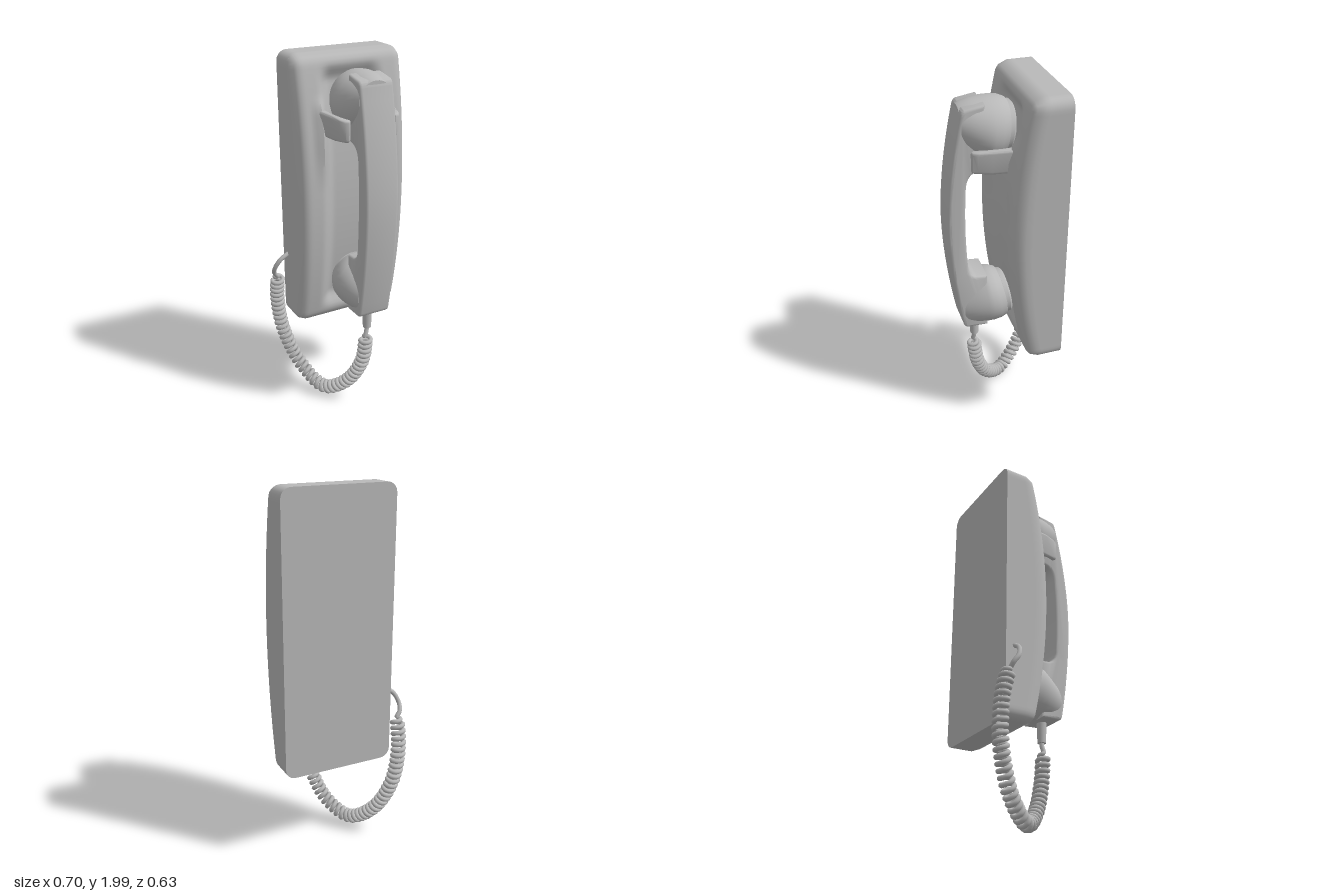
import * as THREE from 'three';
import { toCreasedNormals, mergeVertices } from 'three/addons/utils/BufferGeometryUtils.js';

const CX = 0.04; // centre line of the phone
const { smoothstep } = THREE.MathUtils;
const grey = new THREE.MeshStandardMaterial({ color: 0xb8b8b8 });
grey.name = 'grey plastic';

// Move every vertex of a geometry by a rule
function reshape(geo, rule) {
  const pos = geo.attributes.position, p = new THREE.Vector3();
  for (let i = 0; i < pos.count; i++) {
    p.fromBufferAttribute(pos, i);
    rule(p);
    pos.setXYZ(i, p.x, p.y, p.z);
  }
  return geo;
}

// Smooth normals, with sharp edges kept
function crease(geo, angle = 0.65) {
  geo.deleteAttribute('normal');
  geo.deleteAttribute('uv');
  return toCreasedNormals(mergeVertices(geo, 1e-5), angle);
}

// Wall housing: bulging front, rounded edges, shallow channel behind the handset
function bodyGeometry() {
  const a = 0.31, b = 0.745, back = -0.23, R = 0.055, corner = 0.055;
  const geo = new THREE.BoxGeometry(2 * a, 2 * b, 1, 44, 84, 6);
  return crease(reshape(geo, (p) => {
    const t = p.z + 0.5;
    const e = Math.min(a - Math.abs(p.x), b - Math.abs(p.y));
    // round the four outline corners
    const dx = Math.abs(p.x) - (a - corner), dy = Math.abs(p.y) - (b - corner);
    if (dx > 0 && dy > 0) {
      const k = Math.max(dx, dy) / Math.hypot(dx, dy);
      p.x = Math.sign(p.x) * (a - corner + dx * k);
      p.y = Math.sign(p.y) * (b - corner + dy * k);
    }
    // curved front with a fillet along its edge
    let front = 0.04 - 0.09 * (p.y / b) ** 2;
    const q = Math.max(0, R - e);
    front -= R - Math.sqrt(Math.max(0, R * R - q * q));
    const x = Math.abs(p.x);
    const along = smoothstep(p.y, -0.68, -0.58) * (1 - smoothstep(p.y, 0.6, 0.7));
    front -= 0.05 * (1 - smoothstep(x, 0.1, 0.19)) * along;
    // small swellings that carry the hooks
    front += 0.025 * Math.max(0, 1 - Math.abs(x - 0.18) / 0.05)
      * smoothstep(p.y, 0.05, 0.35) * (1 - smoothstep(p.y, 0.46, 0.56));
    p.z = back + t * (front - back);
    p.x += CX;
    p.y += 1.255;
  }), 0.7);
}

// Handset grip: side profile (z, y) extruded across
function gripGeometry() {
  const s = new THREE.Shape();
  s.moveTo(0.12, 1.925);
  s.lineTo(0.215, 1.91);
  s.quadraticCurveTo(0.235, 1.905, 0.24, 1.87);
  s.bezierCurveTo(0.285, 1.68, 0.317, 1.45, 0.317, 1.27);
  s.bezierCurveTo(0.317, 1.08, 0.29, 0.85, 0.255, 0.67);
  s.quadraticCurveTo(0.25, 0.645, 0.225, 0.645);
  s.lineTo(0.12, 0.64);
  s.lineTo(0.12, 0.97);
  s.lineTo(0.175, 0.975);
  s.quadraticCurveTo(0.215, 0.985, 0.22, 1.04);
  s.quadraticCurveTo(0.236, 1.27, 0.22, 1.5);
  s.quadraticCurveTo(0.215, 1.57, 0.175, 1.585);
  s.lineTo(0.12, 1.6);
  s.closePath();
  const geo = new THREE.ExtrudeGeometry(s, {
    depth: 0.155, curveSegments: 10, bevelThickness: 0.015,
    bevelSize: 0.015, bevelOffset: -0.015, bevelSegments: 3,
  });
  geo.translate(0, 0, -0.0775).rotateY(-Math.PI / 2).translate(CX, 0, 0);
  return crease(geo, 0.6);
}

// Earpiece (side 1) and mouthpiece (side -1): tapered cups tilted towards each other
function cupGeometry(side, y, z) {
  const profile = [
    [0, -0.025], [0.115, -0.022], [0.125, -0.012], [0.125, 0.008], [0.138, 0.012],
    [0.152, 0.045], [0.158, 0.085], [0.154, 0.115], [0.135, 0.165],
    [0.11, 0.215], [0.095, 0.235], [0, 0.237],
  ].map(([r, h]) => new THREE.Vector2(r, h));
  const geo = new THREE.LatheGeometry(profile, 40).rotateX(Math.PI / 2);
  return crease(reshape(geo, (p) => {
    const tilt = 1 - smoothstep(p.z, 0.05, 0.15);
    const skew = side * 0.28 * Math.max(0, p.z - 0.1);
    p.z += z - side * 0.13 * p.y * tilt;
    p.y += y + skew;
    p.x += CX;
  }), 0.6);
}

// Cradle hook: plan outline (x, z) extruded upward
function hookGeometry(side) {
  const plan = [
    [0.24, -0.08], [0.215, -0.03], [0.195, 0.03], [0.185, 0.11], [0.168, 0.175],
    [0.15, 0.2], [0.13, 0.205], [0.115, 0.19], [0.14, 0.14], [0.155, 0.06], [0.15, -0.08],
  ];
  const s = new THREE.Shape(plan.map(([x, z]) => new THREE.Vector2(side * x, -z)));
  const geo = new THREE.ExtrudeGeometry(s, {
    depth: 0.1, bevelThickness: 0.015, bevelSize: 0.01, bevelOffset: -0.01, bevelSegments: 3,
  });
  geo.rotateX(-Math.PI / 2);
  reshape(geo, (p) => {
    // underside narrows towards the centre line, tip is slimmer
    const low = 1 - smoothstep(p.y, -0.015, 0.115);
    p.x -= side * 0.02 * low * smoothstep(Math.abs(p.x), 0.13, 0.18);
    p.y = 0.05 + (p.y - 0.05) * (1 - 0.15 * smoothstep(p.z, 0.1, 0.2));
  });
  return crease(geo.translate(CX, 1.617, 0), 0.8);
}

// Coiled cord: a helix wound round a hanging curve, with straight lead wires
function cordGeometry() {
  const v = (x, y, z) => new THREE.Vector3(x, y, z);
  const spine = new THREE.CatmullRomCurve3([
    v(0.035, 0.47, 0.18), v(0.02, 0.29, 0.155), v(-0.04, 0.13, 0.08), v(-0.13, 0.053, -0.03),
    v(-0.215, 0.16, -0.17), v(-0.28, 0.37, -0.26), v(-0.305, 0.58, -0.272), v(-0.31, 0.74, -0.24),
  ]);
  const turns = 42, per = 14, n = turns * per;
  const frames = spine.computeFrenetFrames(n, false);
  const pts = [v(CX, 0.55, 0.175), v(CX, 0.52, 0.175)];
  for (let i = 0; i <= n; i++) {
    const t = (i / per) * 2 * Math.PI;
    const r = 0.03 * Math.min(1, i / per + 0.3, (n - i) / per + 0.3);
    pts.push(spine.getPointAt(i / n)
      .addScaledVector(frames.normals[i], r * Math.cos(t))
      .addScaledVector(frames.binormals[i], r * Math.sin(t)));
  }
  pts.push(v(-0.335, 0.77, -0.225), v(-0.342, 0.81, -0.2), v(-0.315, 0.865, -0.182), v(-0.26, 0.9, -0.18));
  const path = new THREE.CatmullRomCurve3(pts);
  path.arcLengthDivisions = 3000;
  return new THREE.TubeGeometry(path, 760, 0.0125, 8, false);
}

export function createModel() {
  const phone = new THREE.Group();
  phone.name = 'wallTelephone';
  const add = (name, geo, parent = phone) => {
    const mesh = new THREE.Mesh(geo, grey);
    mesh.name = name;
    parent.add(mesh);
  };

  add('housing', bodyGeometry());
  add('leftHook', hookGeometry(1));
  add('rightHook', hookGeometry(-1));

  const handset = new THREE.Group();
  handset.name = 'handset';
  phone.add(handset);
  add('grip', gripGeometry(), handset);
  add('earpiece', cupGeometry(1, 1.775, 0), handset);
  add('mouthpiece', cupGeometry(-1, 0.795, 0.012), handset);

  // strain relief where the cord leaves the handset
  add('cordSleeve', new THREE.CylinderGeometry(0.028, 0.023, 0.15, 20).translate(CX, 0.605, 0.176), handset);
  add('coiledCord', cordGeometry());
  return phone;
}
